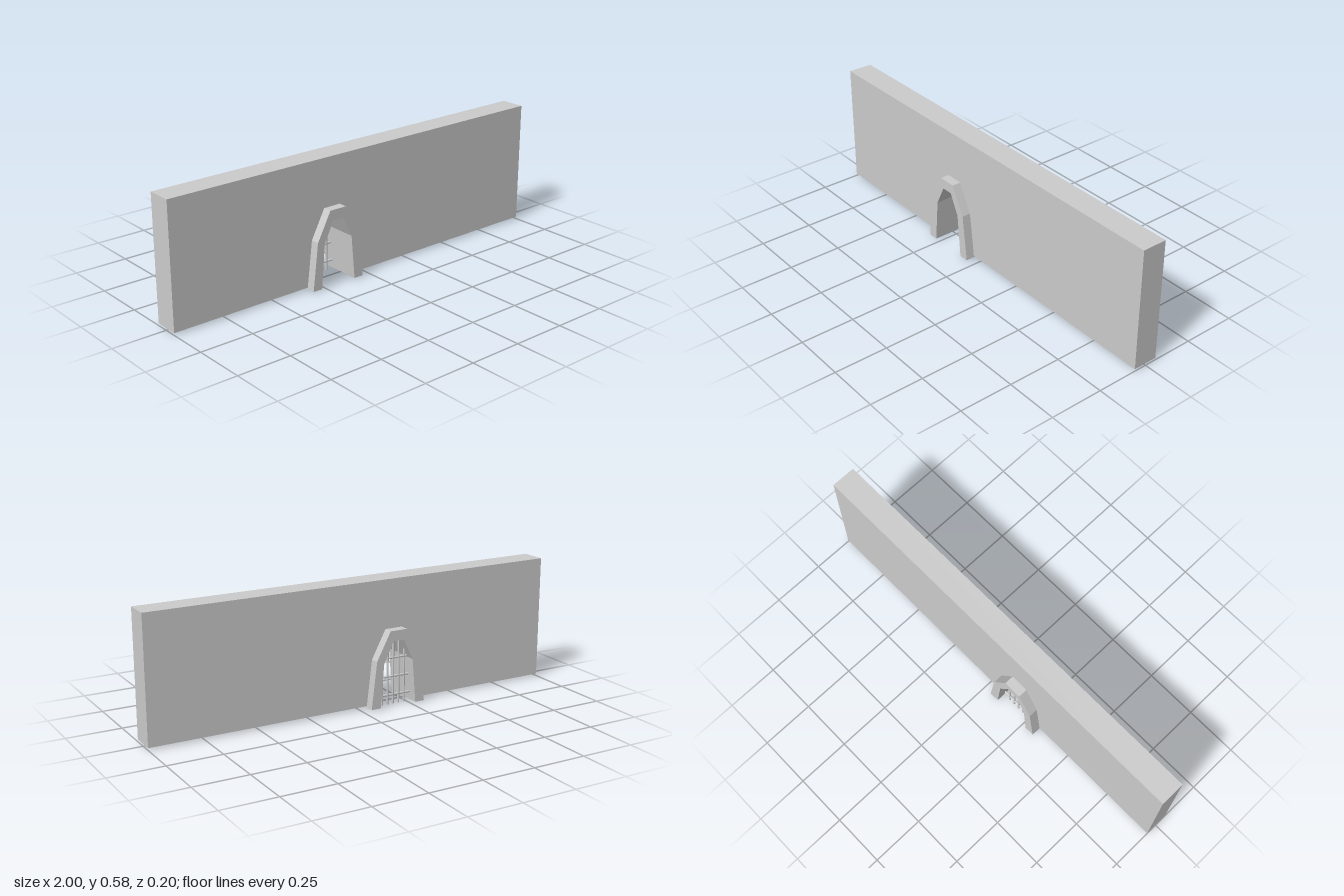
import * as THREE from 'three';

const GATE_X = -0.18;
// Half profiles of the arch, from foot to crown: [distance from gate axis, height]
const OUTER = [[0.139, 0.004], [0.112, 0.225], [0.043, 0.356]];
const INNER = [[0.092, 0.004], [0.075, 0.21], [0.027, 0.308]];

// Mirror a half profile into a full path, left foot to right foot
const fullArch = (half) => [
  ...half.map(([x, y]) => new THREE.Vector2(GATE_X - x, y)),
  ...half.map(([x, y]) => new THREE.Vector2(GATE_X + x, y)).reverse(),
];

const material = new THREE.MeshStandardMaterial({ color: 0xcccccc, flatShading: true });
const barMaterial = new THREE.MeshStandardMaterial({ color: 0xcccccc });

function slab(name, points, zMin, zMax) {
  const geometry = new THREE.ExtrudeGeometry(new THREE.Shape(points), {
    depth: zMax - zMin, bevelEnabled: false,
  });
  geometry.translate(0, 0, zMin);
  const mesh = new THREE.Mesh(geometry, material);
  mesh.name = name;
  return mesh;
}

function bar(name, length, x, y, horizontal) {
  const mesh = new THREE.Mesh(new THREE.CylinderGeometry(0.005, 0.005, length, 12), barMaterial);
  mesh.name = name;
  mesh.position.set(x, y, -0.054);
  if (horizontal) mesh.rotation.z = Math.PI / 2;
  return mesh;
}

export function createModel() {
  const model = new THREE.Group();
  model.name = 'gatedWall';

  // Wall with an opening whose edge is buried within the arch
  const opening = OUTER.map(([x, y], i) => [
    (x + INNER[i][0]) / 2, i === 0 ? 0.01 : (y + INNER[i][1]) / 2,
  ]);
  const corner = (x, y) => new THREE.Vector2(x, y);
  model.add(slab('wall', [
    corner(-1, 0.01), ...fullArch(opening), corner(1, 0.01), corner(1, 0.583), corner(-1, 0.583),
  ], -0.056, 0.06));

  // Arch surround standing proud on both faces
  model.add(slab('archSurround', [...fullArch(OUTER), ...fullArch(INNER).reverse()], -0.1, 0.102));

  // Barred grille towards the back of the passage
  const grille = new THREE.Group();
  grille.name = 'grille';
  [0.255, 0.312, 0.316, 0.312, 0.255].forEach((top, i) => {
    grille.add(bar('verticalBar', top, GATE_X + (i - 2) * 0.029, top / 2, false));
  });
  [[0.043, 0.186], [0.13, 0.17], [0.217, 0.155]].forEach(([y, length]) => {
    grille.add(bar('crossBar', length, GATE_X, y, true));
  });
  model.add(grille);

  return model;
}
